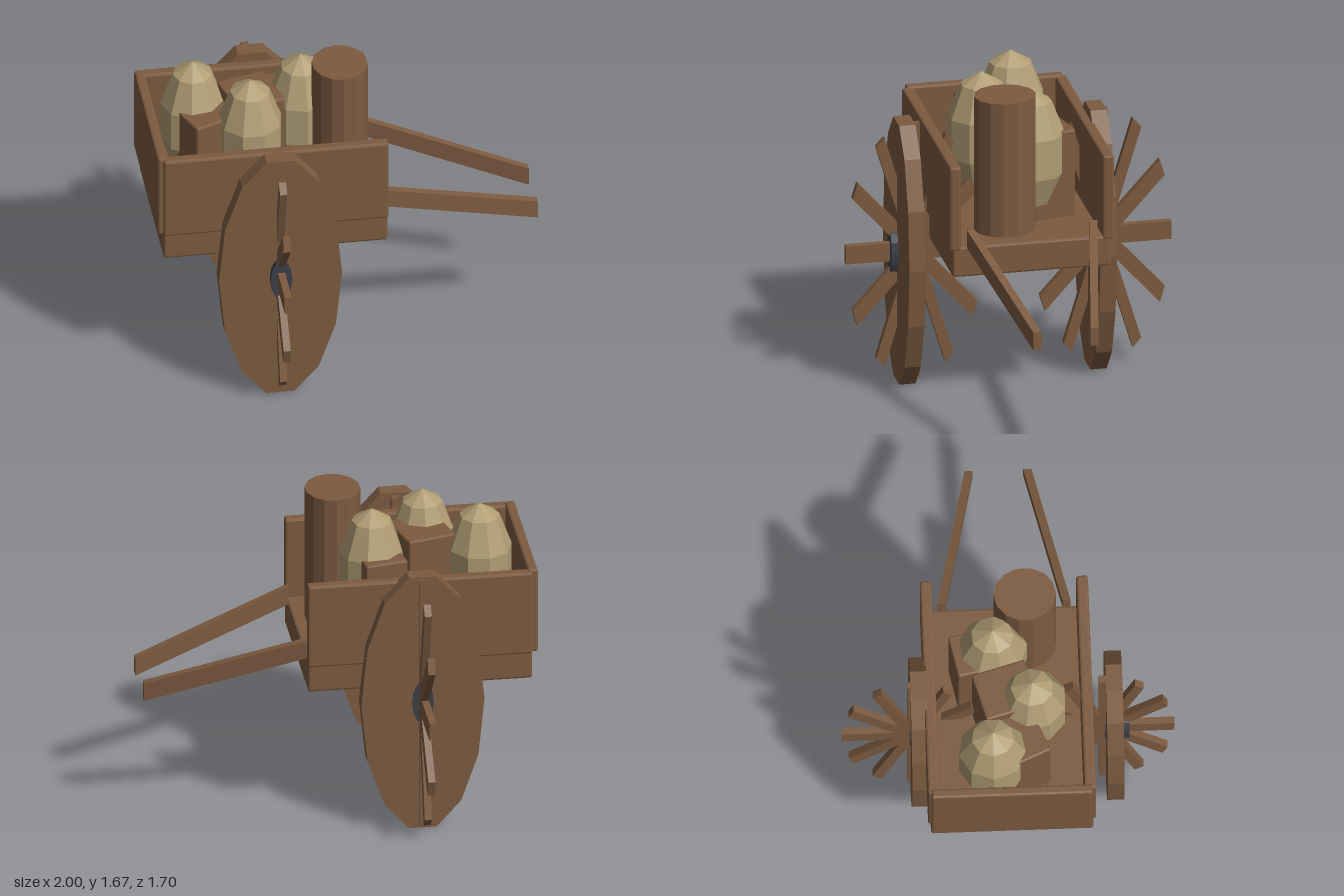
import * as THREE from 'three';
import { RoundedBoxGeometry } from 'three/addons/geometries/RoundedBoxGeometry.js';

export function createModel() {
  const cart = new THREE.Group();
  cart.name = 'handCart';

  const mat = (name, color) => {
    const m = new THREE.MeshStandardMaterial({ color, flatShading: true });
    m.name = name;
    return m;
  };
  const wood = mat('brown wood', 0x7d5b40);
  const cloth = mat('tan sackcloth', 0xb09d74);
  const iron = mat('dark iron', 0x3c3f48);

  const add = (name, geo, material, x, y, z, parent = cart) => {
    const m = new THREE.Mesh(geo, material);
    m.name = name;
    m.position.set(x, y, z);
    parent.add(m);
    return m;
  };

  // Softly bevelled box given by its minimum and maximum corners
  const plank = (name, [x0, y0, z0], [x1, y1, z1]) =>
    add(name, new RoundedBoxGeometry(x1 - x0, y1 - y0, z1 - z0, 1, 0.012), wood,
      (x0 + x1) / 2, (y0 + y1) / 2, (z0 + z1) / 2);

  // Bed, side boards and rear board; the +x end stays open
  plank('bed', [-0.97, 0.765, -0.415], [0.187, 0.93, 0.415]);
  plank('leftSideBoard', [-0.97, 0.91, 0.37], [0.19, 1.37, 0.43]);
  plank('rightSideBoard', [-0.97, 0.91, -0.43], [0.19, 1.37, -0.37]);
  plank('rearBoard', [-1, 0.912, -0.412], [-0.948, 1.38, 0.41]);

  // Handles: upright-ended bars that slope down and inwards
  for (const s of [1, -1]) {
    const geo = new THREE.BoxGeometry(0.815, 0.098, 0.042);
    const p = geo.attributes.position;
    for (let i = 0; i < p.count; i++) {
      const t = p.getX(i) / 0.815;
      p.setY(i, p.getY(i) - 0.265 * t);
      p.setZ(i, p.getZ(i) - s * 0.17 * t);
    }
    geo.computeVertexNormals();
    add('handle', geo, wood, 0.5925, 0.84, s * 0.235);
  }

  // Wheels: tall oval disc, iron hub and a star of spokes standing across the disc
  const oval = (sides, rx, ry, depth) => {
    const geo = new THREE.CylinderGeometry(1, 1, depth, sides);
    geo.rotateY(Math.PI / 2);
    geo.rotateX(Math.PI / 2);
    return geo.scale(rx, ry, 1);
  };
  for (const s of [1, -1]) {
    const wheel = new THREE.Group();
    wheel.name = s > 0 ? 'leftWheel' : 'rightWheel';
    wheel.position.set(-0.392, 0.71, s * 0.5);
    cart.add(wheel);
    add('disc', oval(14, 0.318, 0.728, 0.085), wood, 0, 0, 0.042, wheel);
    add('hub', oval(12, 0.056, 0.118, 0.125), iron, 0, 0, 0.058, wheel);
    const star = new THREE.Group();
    star.name = 'spokes';
    star.position.z = -s * 0.01;
    star.scale.z = 0.52;
    wheel.add(star);
    for (let i = 0; i < 6; i++) {
      add('spoke', new THREE.BoxGeometry(0.037, 0.098, 1.39), wood, 0, 0, 0, star)
        .rotation.x = i * Math.PI / 6;
    }
  }

  // Barrel
  const barrel = new THREE.CylinderGeometry(1, 1, 0.73, 14);
  barrel.scale(0.143, 1, 0.16);
  add('barrel', barrel, wood, -0.013, 1.305, 0.1);

  // Crates: x, z, width, depth, top, turn
  for (const [x, z, w, d, top, turn] of [
    [-0.69, 0.04, 0.27, 0.25, 1.405, 0.4],
    [-0.455, -0.015, 0.26, 0.285, 1.47, 0.27],
    [-0.22, -0.165, 0.225, 0.225, 1.4, 0.2],
  ]) {
    const h = top - 0.92;
    add('crate', new RoundedBoxGeometry(w, h, d, 1, 0.01), wood, x, 0.92 + h / 2, z)
      .rotation.y = turn;
  }

  // Faceted sacks: x, z, turn
  for (const [x, z, turn] of [[-0.745, -0.09, 0], [-0.48, 0.12, 0.5], [-0.19, -0.073, 0.25]]) {
    const geo = new THREE.SphereGeometry(1, 9, 5);
    geo.rotateY(turn);
    geo.scale(0.175, 0.345, 0.187);
    add('sack', geo, cloth, x, 1.277, z);
  }

  return cart;
}
